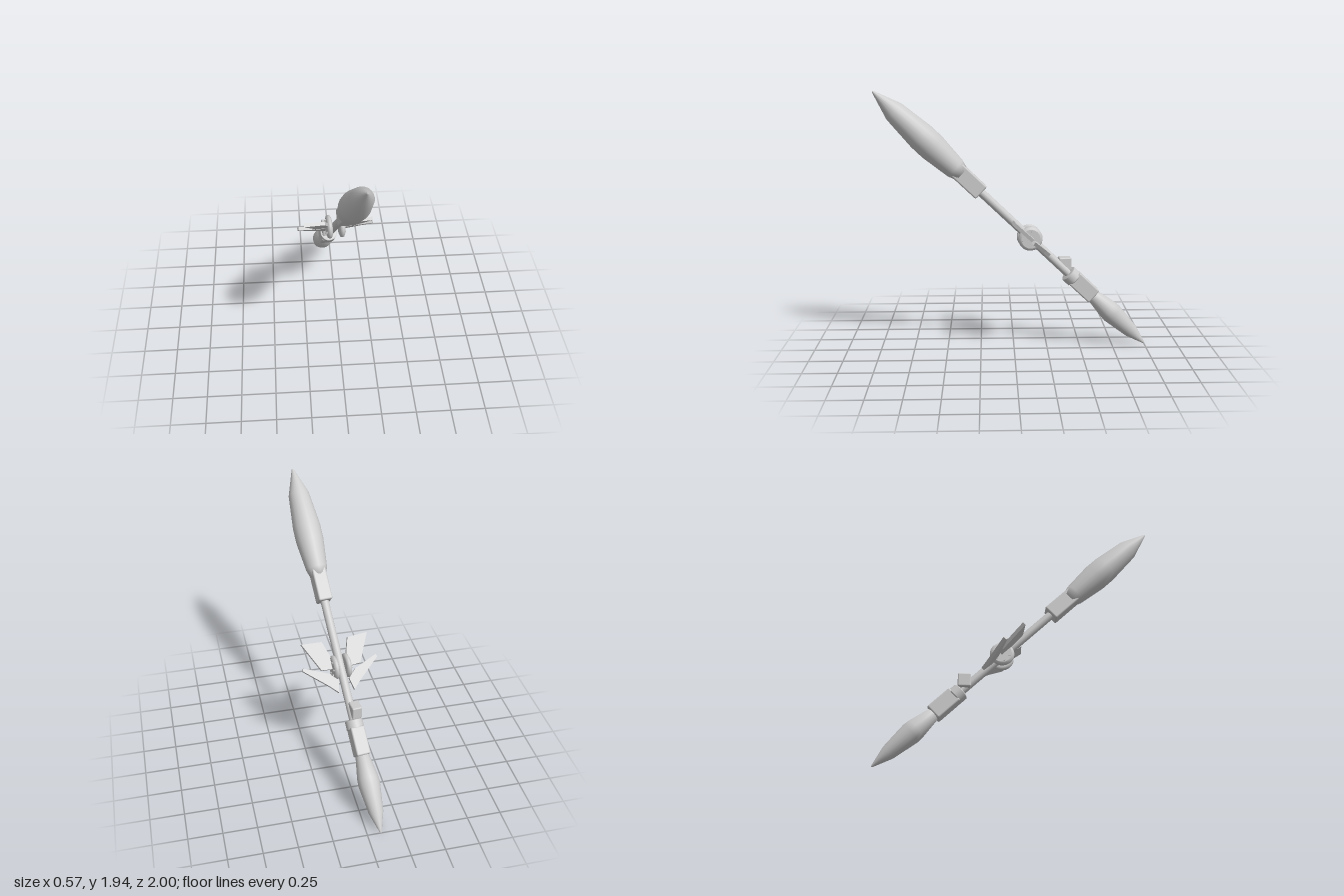
import * as THREE from 'three';
import { RoundedBoxGeometry } from 'three/addons/geometries/RoundedBoxGeometry.js';

export function createModel() {
  const model = new THREE.Group();
  model.name = 'doubleEndedStaff';
  const grey = new THREE.MeshStandardMaterial({ color: 0xcccccc });
  grey.name = 'pale grey';

  // The staff runs along its own y axis, then is pitched forward and turned a little
  const staff = new THREE.Group();
  staff.name = 'staff';
  staff.position.set(0.005, 0.97, 0);
  staff.rotation.set(0.804, 0.104, 0, 'YXZ');
  model.add(staff);

  const add = (name, geometry, x = 0, y = 0, z = 0) => {
    const mesh = new THREE.Mesh(geometry, grey);
    mesh.name = name;
    mesh.position.set(x, y, z);
    staff.add(mesh);
    return mesh;
  };
  const lathe = (points, sides = 20) =>
    new THREE.LatheGeometry(points.map(([r, y]) => new THREE.Vector2(r, y)), sides);

  // Spindle-shaped ends, profiles listed from bottom to top
  add('upperHead', lathe([[0, 0.53], [0.062, 0.54], [0.08, 0.6], [0.104, 0.82], [0.104, 0.93],
    [0.078, 1.19], [0.008, 1.39], [0, 1.397]]));
  add('lowerHead', lathe([[0, -1.397], [0.007, -1.39], [0.054, -1.245], [0.08, -1.04],
    [0.077, -0.99], [0.05, -0.83], [0, -0.81]]), 0, 0, -0.004);

  // Shaft and its sockets
  add('shaft', new THREE.CylinderGeometry(0.031, 0.031, 1.0, 20), 0, -0.12, 0);
  add('upperSocket', new RoundedBoxGeometry(0.105, 0.25, 0.122, 2, 0.012), 0, 0.465, 0);
  add('lowerSocket', new RoundedBoxGeometry(0.105, 0.21, 0.122, 2, 0.012), 0, -0.725, -0.005);
  add('collar', lathe([[0.03, -0.635], [0.06, -0.635], [0.065, -0.63], [0.065, -0.63], [0.065, -0.57],
    [0.065, -0.57], [0.06, -0.565], [0.03, -0.565]], 24));
  const latch = add('latch', new RoundedBoxGeometry(0.075, 0.1, 0.095, 2, 0.01), -0.022, -0.5, -0.035);
  latch.rotation.x = -0.804;

  // Fin plates lying flat along the shaft
  const finShapes = {
    upperFin: [[0.03, -0.175], [0.15, -0.165], [0.255, 0.05], [0.1, 0.04]],
    lowerFin: [[0.06, -0.35], [0.12, -0.29], [0.288, -0.145], [0.28, -0.125], [0.1, -0.2], [0.04, -0.26]],
  };
  const hubY = -0.16;
  for (const side of [-1, 1]) {
    const label = side > 0 ? 'left' : 'right';
    for (const [name, points] of Object.entries(finShapes)) {
      const shape = new THREE.Shape(points.map(([x, y]) => new THREE.Vector2(x * side, y)));
      add(`${label} ${name}`, new THREE.ExtrudeGeometry(shape, { depth: 0.026, bevelEnabled: false }), 0, 0, -0.018);
    }

    // Round hub discs with a ring of studs
    const disc = add(`${label} hubDisc`, lathe([[0, -0.02], [0.07, -0.02], [0.085, -0.013], [0.09, 0],
      [0.085, 0.013], [0.07, 0.02], [0.07, 0.02], [0, 0.02]], 28), side * 0.047, hubY, 0);
    disc.rotation.z = -side * Math.PI / 2;
    for (let i = 0; i < 6; i++) {
      const a = (i / 6) * Math.PI * 2;
      const stud = add(`${label} hubStud`, new THREE.CylinderGeometry(0.009, 0.009, 0.012, 10),
        side * 0.067, hubY + Math.cos(a) * 0.055, Math.sin(a) * 0.055);
      stud.rotation.z = Math.PI / 2;
    }
  }
  return model;
}
